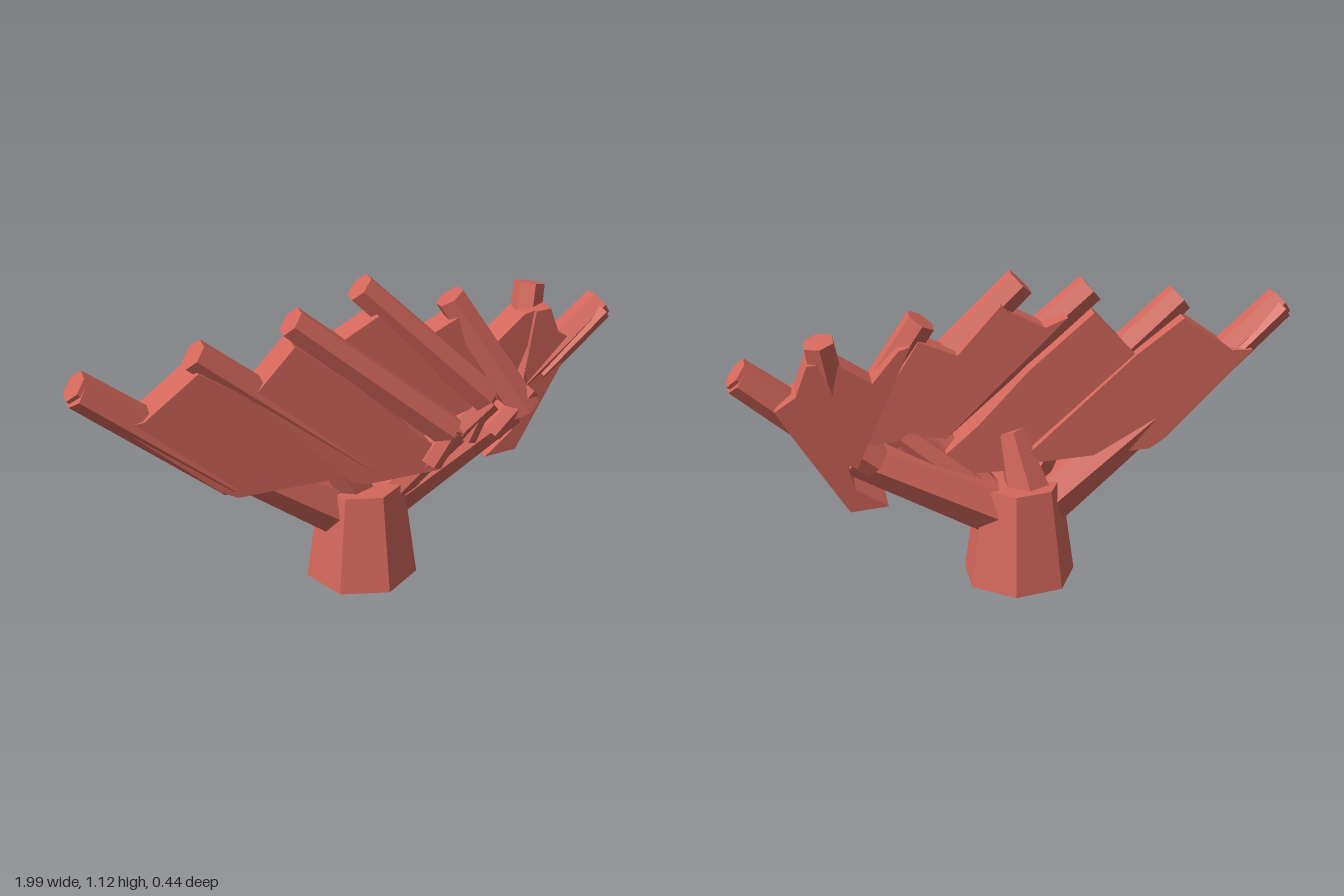
import * as THREE from 'three';

export function createModel() {
  const model = new THREE.Group();
  model.name = 'fanCoral';
  const coral = new THREE.MeshStandardMaterial({ color: 0xd4675b, flatShading: true });
  coral.name = 'coral red';

  const add = (name, geometry) => {
    const mesh = new THREE.Mesh(geometry, coral);
    mesh.name = name;
    model.add(mesh);
    return mesh;
  };

  // Six-sided tapered limb between two points, optionally widened in depth
  const limb = (name, from, to, r0, r1, depth = 1) => {
    const a = new THREE.Vector3(...from), b = new THREE.Vector3(...to);
    const dir = b.clone().sub(a);
    const mesh = add(name, new THREE.CylinderGeometry(r1, r0, dir.length(), 6));
    mesh.geometry.scale(1, 1, depth);
    mesh.position.copy(a).add(b).multiplyScalar(0.5);
    mesh.quaternion.setFromUnitVectors(new THREE.Vector3(0, 1, 0), dir.normalize());
  };

  // Slab of webbing: outline in x/y, centre depth z = z0 + slope * x
  const web = (name, outline, z0, slope, thickness) => {
    const shape = new THREE.Shape(outline.map(([x, y]) => new THREE.Vector2(x, y)));
    const g = new THREE.ExtrudeGeometry(shape, { depth: thickness, bevelEnabled: false });
    const p = g.attributes.position;
    for (let i = 0; i < p.count; i++) {
      p.setZ(i, p.getZ(i) - thickness / 2 + z0 + slope * p.getX(i));
    }
    g.computeVertexNormals();
    add(name, g);
  };

  // Trunk
  const trunk = add('trunk', new THREE.CylinderGeometry(0.152, 0.203, 0.36, 7, 1, false, -Math.PI / 2));
  trunk.position.set(0.016, 0.18, 0.006);

  // Thick limbs leaving the trunk
  const stems = [
    [[-0.02, 0.23, 0.01], [-0.48, 0.55, 0.08], 0.1, 0.068],
    [[0.06, 0.25, -0.01], [0.6, 0.53, -0.06], 0.1, 0.068],
    [[0.08, 0.27, 0.02], [0.33, 0.56, 0.085], 0.06, 0.05],
    [[0.1, 0.28, 0], [0.49, 0.61, 0.01], 0.06, 0.05],
    [[-0.02, 0.3, -0.02], [0.04, 0.55, 0.02], 0.09, 0.05],
    [[-0.01, 0.33, 0.03], [-0.14, 0.55, 0.07], 0.07, 0.05],
  ];
  stems.forEach(([a, b, r0, r1], i) => limb('stem' + (i + 1), a, b, r0, r1));

  // Finger branches, from the right-hand tip to the left-hand tip
  const branches = [
    [[-0.44, 0.49, 0.08], [-0.965, 0.928, 0.148]],
    [[0.02, 0.46, 0.06], [-0.58, 0.97, 0.115]],
    [[0.31, 0.55, 0.085], [-0.25, 1.03, 0.085]],
    [[0.47, 0.63, 0.02], [0.01, 1.088, 0]],
    [[0.63, 0.55, 0.0], [0.355, 0.99, -0.06]],
    [[0.62, 0.54, -0.07], [0.698, 0.967, -0.16]],
    [[0.52, 0.51, -0.08], [0.965, 0.872, -0.135]],
  ];
  branches.forEach(([a, b], i) => limb('branch' + (i + 1), a, b, 0.063, 0.055));

  // Broad ribs under the two outermost branches
  limb('rightRib', [-0.47, 0.48, 0.085], [-0.962, 0.908, 0.148], 0.05, 0.05, 1.45);
  limb('leftRib', [0.72, 0.64, -0.115], [0.962, 0.852, -0.135], 0.05, 0.05, 1.45);

  // Short stubs round the left-hand junction
  const stubs = [
    [[0.5, 0.48, 0.01], [0.65, 0.63, 0.0]],
    [[0.24, 0.44, 0.095], [0.32, 0.57, 0.1]],
    [[0.4, 0.47, 0.01], [0.48, 0.64, 0.01]],
  ];
  stubs.forEach(([a, b], i) => limb('stub' + (i + 1), a, b, 0.045, 0.04));

  // Webbing between neighbouring branches
  web('outerWeb', [[-0.52, 0.48], [-0.46, 0.445], [-0.04, 0.44], [0.03, 0.44], [-0.4, 0.8],
    [-0.575, 0.92], [-0.76, 0.785], [-0.84, 0.78]], 0.035, -0.1, 0.14);
  web('broadWeb', [[-0.06, 0.43], [0.0, 0.405], [0.27, 0.41], [0.31, 0.46], [0.16, 0.585],
    [-0.02, 0.77], [-0.25, 0.96], [-0.4, 0.8]], 0.06, -0.06, 0.125);
  web('centreWeb', [[0.28, 0.56], [0.43, 0.6], [0.06, 1.0], [-0.07, 0.93], [-0.15, 0.96]],
    0.015, -0.07, 0.1);
  web('crestWeb', [[0.44, 0.59], [0.6, 0.58], [0.37, 0.93], [0.24, 0.87], [0.09, 1.03], [0.05, 0.99]],
    -0.02, -0.1, 0.1);
  web('leftWeb', [[0.59, 0.52], [0.66, 0.56], [0.7, 0.9], [0.64, 0.89], [0.53, 0.81], [0.44, 0.91],
    [0.4, 0.92]], 0.02, -0.21, 0.12);
  web('sideWeb', [[0.49, 0.37], [0.62, 0.37], [0.8, 0.67], [0.85, 0.76], [0.78, 0.8], [0.74, 0.9],
    [0.68, 0.9], [0.62, 0.52], [0.6, 0.45]], 0.02, -0.2, 0.145);

  return model;
}
